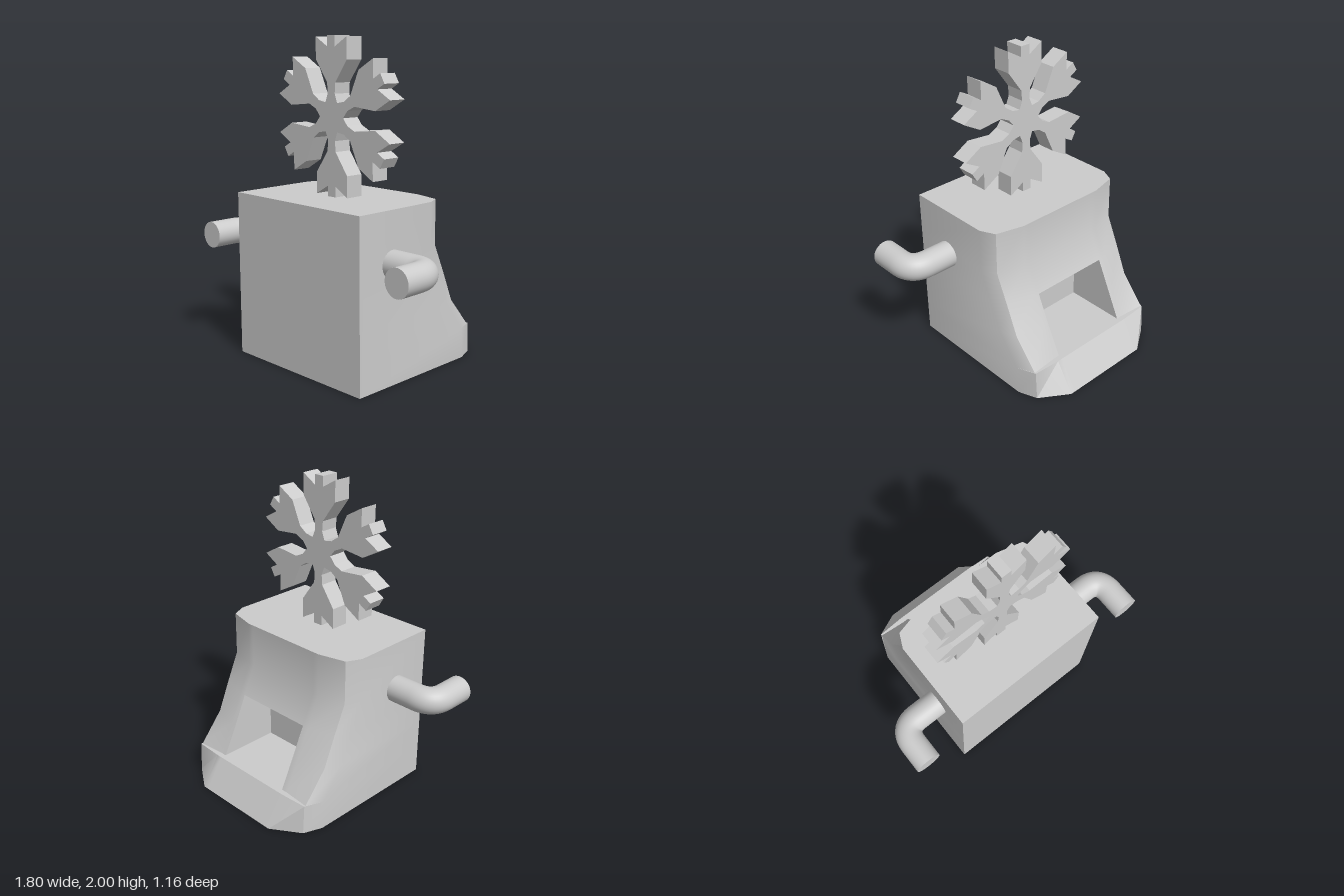
import * as THREE from 'three';
import { toCreasedNormals } from 'three/addons/utils/BufferGeometryUtils.js';

const material = new THREE.MeshStandardMaterial({ color: 0xcccccc });

function addMesh(parent, name, geometry) {
  const mesh = new THREE.Mesh(geometry, material);
  mesh.name = name;
  parent.add(mesh);
  return mesh;
}

// Block with a sloping, chamfered back, a ledge at its foot and a recess in the slope
function bodyGeometry() {
  const front = 0.57, half = 0.535, hole = 0.27, holeZ = -0.02;
  // Levels from bottom to top: height, then back z at side, corner and middle
  const levels = [
    [0, -0.34, -0.46, -0.58],
    [0.19, -0.33, -0.45, -0.46],
    [0.19, -0.33, -0.44, -0.425],
    [0.38, -0.18, -0.28, -0.33],
    [0.57, -0.10, -0.20, -0.245],
    [0.76, -0.02, -0.115, -0.16],
    [1.04, -0.02, -0.115, -0.16],
  ];
  const rings = levels.map(([y, side, corner, back]) => {
    const right = [[half, front], [half, side], [0.49, corner], [0.31, back], [hole, back]];
    const left = right.map(([x, z]) => [-x, z]).reverse();
    return [...right, ...left].map(([x, z]) => new THREE.Vector3(x, y, z));
  });

  const positions = [];
  const fan = (pts) => {
    for (let i = 1; i < pts.length - 1; i++) {
      const t = new THREE.Triangle(pts[0], pts[i], pts[i + 1]);
      if (t.getArea() > 1e-7) for (const p of [t.a, t.b, t.c]) positions.push(p.x, p.y, p.z);
    }
  };

  // Walls, leaving the recess opening free
  for (let r = 0; r < rings.length - 1; r++) {
    const lo = rings[r], hi = rings[r + 1];
    for (let i = 0; i < lo.length; i++) {
      if (i === 4 && (r === 2 || r === 3)) continue;
      const j = (i + 1) % lo.length;
      fan([lo[i], lo[j], hi[j], hi[i]]);
    }
  }
  fan(rings[rings.length - 1]);
  fan([...rings[0]].reverse());

  // Recess: floor, ceiling, inner wall and two side walls
  const [floor, middle, ceiling] = [rings[2], rings[3], rings[4]];
  const inner = (p) => new THREE.Vector3(p.x, p.y, holeZ);
  fan([floor[4], floor[5], inner(floor[5]), inner(floor[4])]);
  fan([ceiling[5], ceiling[4], inner(ceiling[4]), inner(ceiling[5])]);
  fan([floor[4], floor[5], ceiling[5], ceiling[4]].map(inner));
  for (const i of [4, 5]) {
    const wall = [inner(floor[i]), inner(ceiling[i]), ceiling[i], middle[i], floor[i]];
    fan(i === 4 ? wall : wall.reverse());
  }

  const geometry = new THREE.BufferGeometry();
  geometry.setAttribute('position', new THREE.Float32BufferAttribute(positions, 3));
  return toCreasedNormals(geometry, 0.6);
}

// Bent round pipe, out to the side and then forward
function createArm(side) {
  const arm = new THREE.Group();
  const v = (x, z) => new THREE.Vector3(side * x, 0.725, z);
  const radius = 0.085, x = 0.815, z = 0.305, bend = 0.12;
  const path = new THREE.CurvePath();
  path.add(new THREE.LineCurve3(v(0.5, z), v(x - bend, z)));
  path.add(new THREE.QuadraticBezierCurve3(v(x - bend, z), v(x, z), v(x, z + bend)));
  path.add(new THREE.LineCurve3(v(x, z + bend), v(x, 0.58)));
  addMesh(arm, 'armPipe', new THREE.TubeGeometry(path, 40, radius, 32));
  addMesh(arm, 'armEnd', new THREE.CircleGeometry(radius, 32)).position.copy(v(x, 0.58));
  return arm;
}

// Six-armed flat snowflake, one half arm mirrored and turned
function snowflakeGeometry() {
  const halfArm = [
    [0.033, 0.48], [0.033, 0.415], [0.132, 0.473], [0.132, 0.34],
    [0.035, 0.205], [0.03, 0.14], [0.05, 0.0866],
  ];
  const mirrored = halfArm.slice(0, -1).map(([x, y]) => [-x, y]).reverse();
  const outline = [];
  for (let k = 0; k < 6; k++) {
    for (const [x, y] of [...mirrored, ...halfArm]) {
      outline.push(new THREE.Vector2(x, y).rotateAround(new THREE.Vector2(), -k * Math.PI / 3));
    }
  }
  return new THREE.ExtrudeGeometry(new THREE.Shape(outline), { depth: 0.12, bevelEnabled: false });
}

export function createModel() {
  const model = new THREE.Group();
  model.name = 'snowflakeBlock';

  addMesh(model, 'body', bodyGeometry());

  for (const side of [1, -1]) {
    const arm = createArm(side);
    arm.name = side > 0 ? 'leftArm' : 'rightArm';
    model.add(arm);
  }

  addMesh(model, 'snowflake', snowflakeGeometry()).position.set(0, 1.52, 0.152);
  return model;
}
